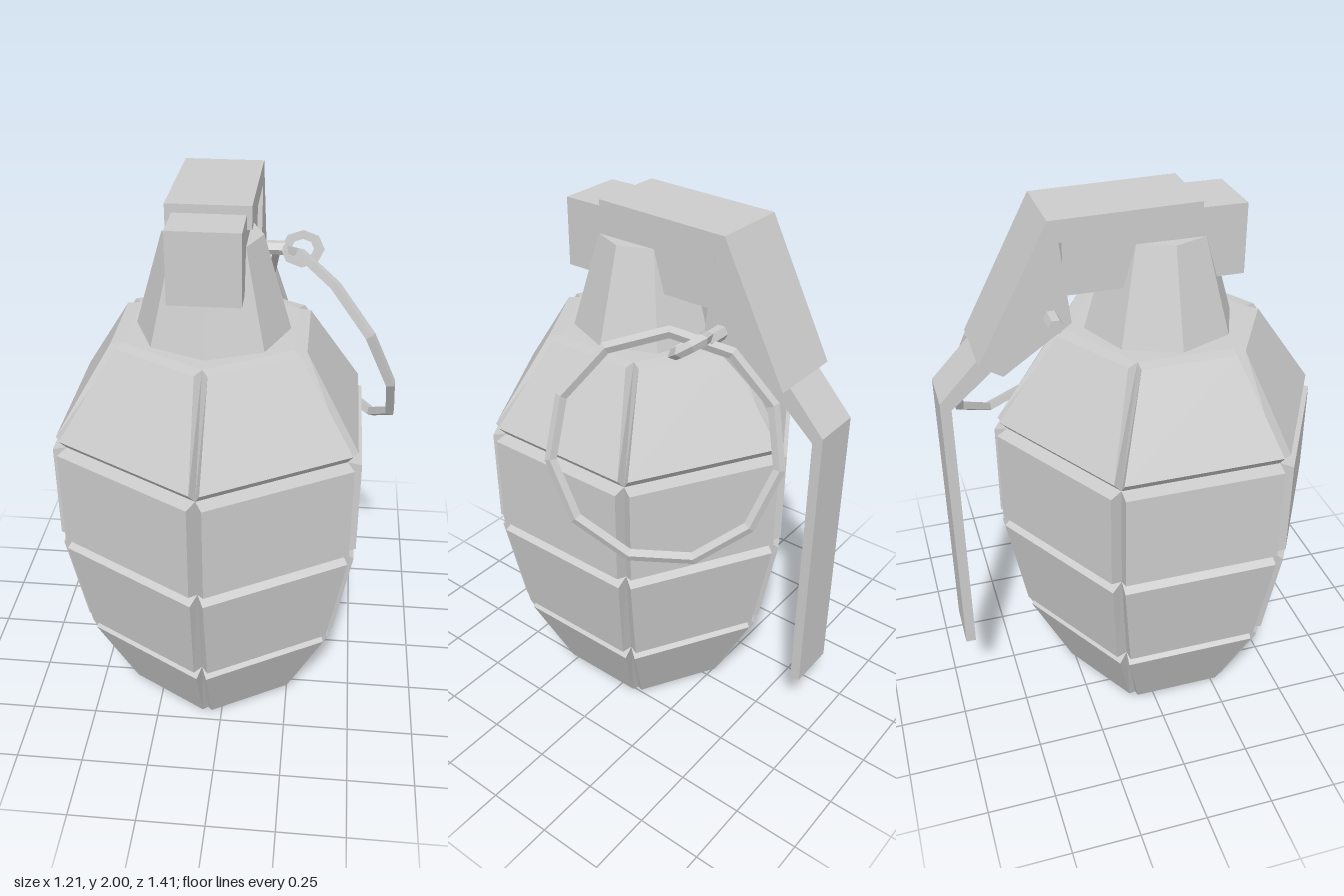
import * as THREE from 'three';

const mat = new THREE.MeshStandardMaterial({ color: 0xcccccc, flatShading: true });
const CX = -0.055, CZ = 0.1; // body axis
const TAN30 = Math.tan(Math.PI / 6);

function add(parent, name, geometry, x = 0, y = 0, z = 0) {
  const mesh = new THREE.Mesh(geometry, mat);
  mesh.name = name;
  mesh.position.set(x, y, z);
  parent.add(mesh);
  return mesh;
}

// Side profile of [z, y] points, extruded across x from x0 to x1
function sideExtrude(points, x0, x1) {
  const shape = new THREE.Shape(points.map(([z, y]) => new THREE.Vector2(z, y)));
  const g = new THREE.ExtrudeGeometry(shape, { depth: x1 - x0, bevelEnabled: false });
  return g.rotateY(-Math.PI / 2).translate(x1, 0, 0);
}

// Raised plate: a box whose corners are moved onto the core (inner) and the plate face (outer)
function plateGeometry(inner, outer) {
  const g = new THREE.BoxGeometry(1, 1, 1);
  const p = g.attributes.position;
  for (let i = 0; i < p.count; i++) {
    const end = p.getY(i) > 0 ? 1 : 0;
    const [a, y] = (p.getX(i) > 0 ? outer : inner)[end];
    p.setXYZ(i, a, y, Math.sign(p.getZ(i)) * inner[end][0] * TAN30);
  }
  return g;
}

// Ring facing along a given normal
function ring(parent, name, radius, tube, sides, centre, normal) {
  const mesh = add(parent, name, new THREE.TorusGeometry(radius, tube, 4, sides), ...centre);
  mesh.quaternion.setFromUnitVectors(new THREE.Vector3(0, 0, 1), new THREE.Vector3(...normal).normalize());
  return mesh;
}

export function createModel() {
  const model = new THREE.Group();

  // Hexagonal core, given as [apothem, height]
  const body = new THREE.Group();
  body.name = 'body';
  body.position.set(CX, 0, CZ);
  model.add(body);
  const core = [[0.29, 0], [0.425, 0.37], [0.49, 0.78], [0.49, 1.17], [0.29, 1.53]];
  const profile = [[0, 0], ...core, [0, 1.53]]
    .map(([a, y]) => new THREE.Vector2(a / Math.cos(Math.PI / 6), y));
  add(body, 'core', new THREE.LatheGeometry(profile, 6));

  // Four rows of six raised plates, separated by V grooves
  const rows = [
    [[0.325, 0.015], [0.46, 0.335]],
    [[0.475, 0.38], [0.535, 0.755]],
    [[0.54, 0.8], [0.54, 1.16]],
    [[0.525, 1.21], [0.335, 1.525]],
  ];
  rows.forEach((outer, r) => {
    const g = plateGeometry([core[r], core[r + 1]], outer);
    for (let i = 0; i < 6; i++) {
      add(body, 'plate', g).rotation.y = (i * Math.PI) / 3;
    }
  });

  // Tapered eight-sided neck and the fuze head on top
  add(body, 'neck', new THREE.CylinderGeometry(0.173, 0.275, 0.35, 8), 0, 1.695, 0);
  add(model, 'fuzeHead', new THREE.BoxGeometry(0.245, 0.25, 0.635), CX, 1.845, 0.0475);

  // Lever: wide top with cheeks, then the narrow strip hanging down the back
  const lever = new THREE.Group();
  lever.name = 'lever';
  model.add(lever);
  add(lever, 'leverTop', sideExtrude([
    [0.2, 2], [0.2, 1.92], [-0.285, 1.915], [-0.25, 1.63],
    [-0.49, 1.465], [-0.57, 1.515], [-0.32, 1.99],
  ], -0.2, 0.085));
  add(lever, 'leverHandle', sideExtrude([
    [-0.53, 1.55], [-0.5, 1.48], [-0.667, 1.335], [-0.667, 0.275],
    [-0.705, 0.275], [-0.705, 1.365],
  ], -0.15, 0.035));

  // Safety pin with its eyelet and pull ring
  const pin = add(model, 'pin', new THREE.CylinderGeometry(0.027, 0.027, 0.45, 6), -0.05, 1.66, -0.32);
  pin.rotation.z = Math.PI / 2;
  ring(model, 'pinEye', 0.063, 0.02, 8, [0.235, 1.665, -0.305], [0, 0.81, 0.58]);
  ring(model, 'pullRing', 0.385, 0.021, 11, [0.355, 1.33, -0.295], [1, 0.505, -0.664]);

  return model;
}
